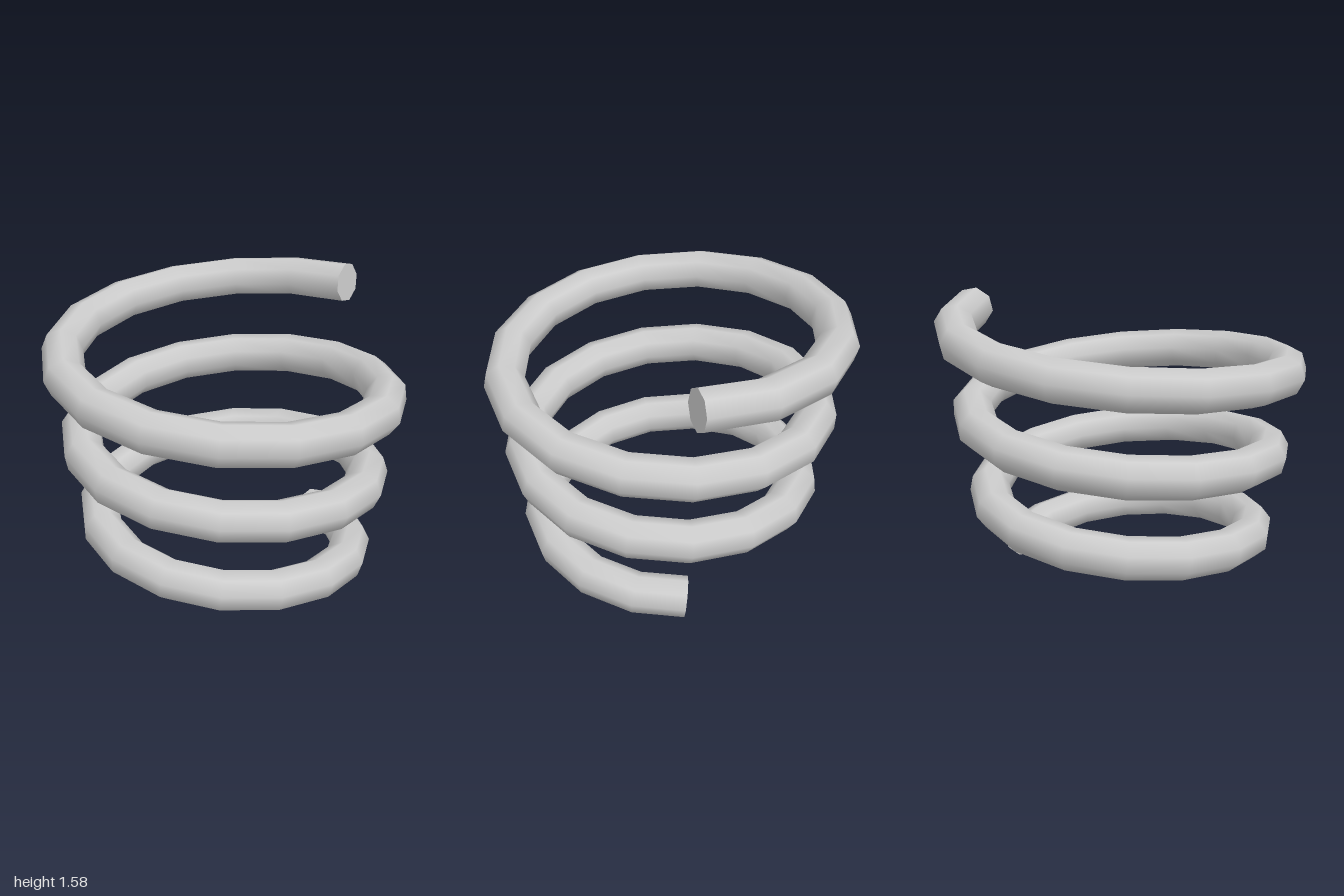
import * as THREE from 'three';

const TURNS = 3, STEPS = 48, SIDES = 8, WIRE = 0.11;

// Rising helix that widens towards the top, sampled evenly by angle
class CoilCurve extends THREE.Curve {
  getPoint(u, target = new THREE.Vector3()) {
    const a = u * TURNS * Math.PI * 2;
    const r = 0.677 + 0.23 * u;
    return target.set(r * Math.cos(a) - 0.017, 0.11 + 1.365 * u, r * Math.sin(a) + 0.018);
  }
  getPointAt(u, target) {
    return this.getPoint(u, target);
  }
  // Direction between neighbouring rings, so the ends are cut square to their last segment
  getTangentAt(u, target = new THREE.Vector3()) {
    const before = this.getPoint(Math.max(0, u - 1 / STEPS));
    const after = this.getPoint(Math.min(1, u + 1 / STEPS));
    return target.subVectors(after, before).normalize();
  }
}

// Flat fan closing one end ring of the wire
function endCap(tube, curve, u) {
  const ring = tube.attributes.position;
  const first = Math.round(u * STEPS) * (SIDES + 1);
  const points = [curve.getPoint(u)];
  const index = [];
  for (let j = 0; j <= SIDES; j++) {
    points.push(new THREE.Vector3().fromBufferAttribute(ring, first + j));
    if (j < SIDES) index.push(0, ...(u === 0 ? [j + 1, j + 2] : [j + 2, j + 1]));
  }
  const cap = new THREE.BufferGeometry().setFromPoints(points);
  cap.setIndex(index);
  cap.computeVertexNormals();
  return cap;
}

export function createModel() {
  const group = new THREE.Group();
  group.name = 'coilSpring';
  const material = new THREE.MeshStandardMaterial({ color: 0xcccccc });
  const add = (name, geometry) => {
    const mesh = new THREE.Mesh(geometry, material);
    mesh.name = name;
    group.add(mesh);
  };

  const curve = new CoilCurve();
  const tube = new THREE.TubeGeometry(curve, STEPS, WIRE, SIDES, false);
  add('coil', tube);
  add('bottomEnd', endCap(tube, curve, 0));
  add('topEnd', endCap(tube, curve, 1));
  return group;
}
